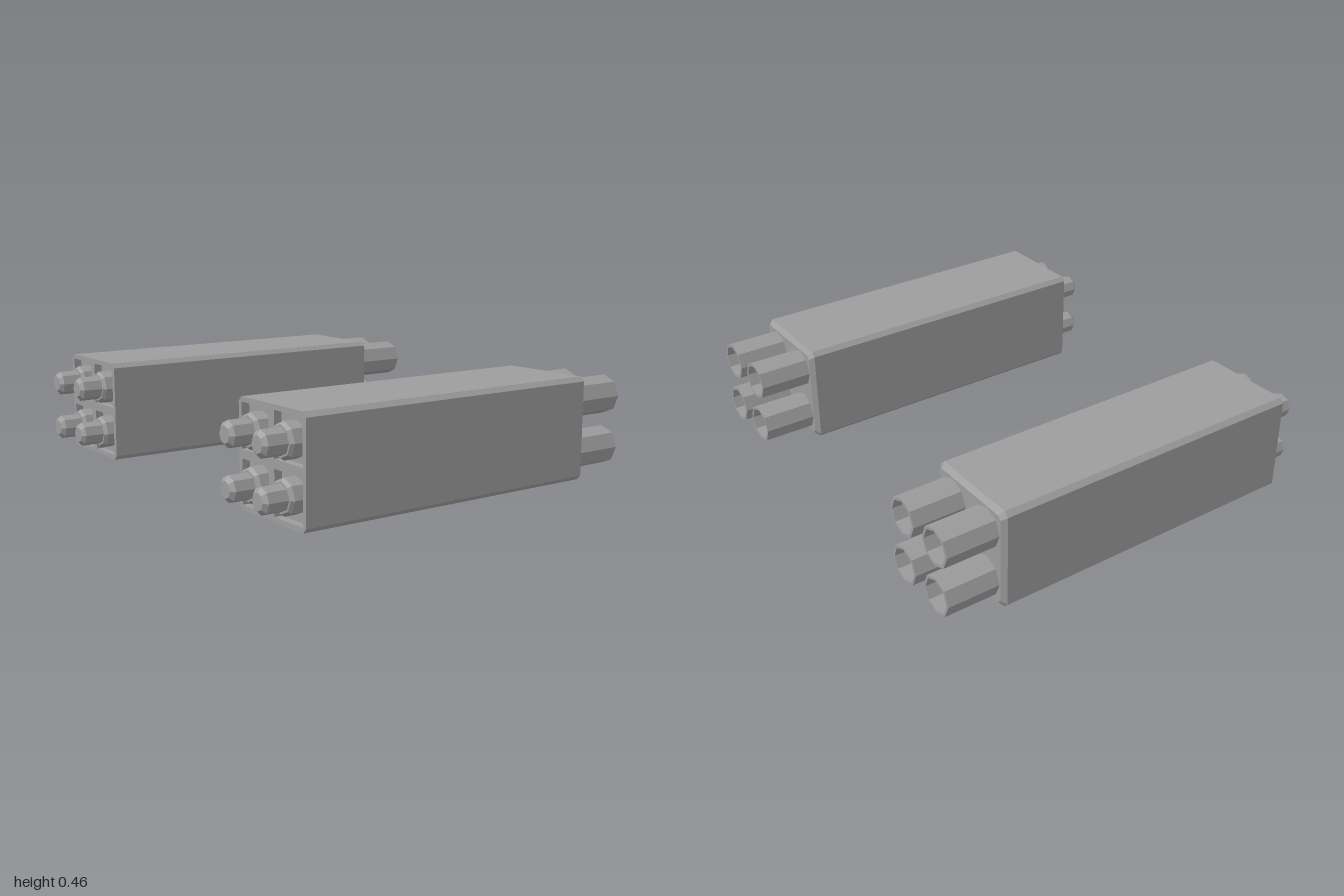
import * as THREE from 'three';

const grey = new THREE.MeshStandardMaterial({ color: 0x9c9c9c, flatShading: true });
grey.name = 'grey metal';

const HALF = 0.228, CHAMFER = 0.02, FRONT = 0.79, BACK = -0.693, DEPTH = 0.035;
const CELL = 0.113, CELL_HALF = 0.094, FLOOR_HALF = 0.08;

// Square outline with cut corners
function outline(h, c) {
  return [[h, -h + c], [h, h - c], [h - c, h], [-h + c, h], [-h, h - c], [-h, -h + c], [-h + c, -h], [h - c, -h]]
    .map(([x, y]) => new THREE.Vector2(x, y));
}

// Capped solid through a series of outlines running from back to front
function loft(sections) {
  const pos = [], idx = [], n = 8;
  for (const [z, h, c] of sections) for (const p of outline(h, c)) pos.push(p.x, p.y, z);
  for (let s = 0; s < sections.length - 1; s++) {
    for (let i = 0; i < n; i++) {
      const a = s * n + i, b = s * n + (i + 1) % n;
      idx.push(a, b, b + n, a, b + n, a + n);
    }
  }
  const last = (sections.length - 1) * n;
  for (let i = 1; i < n - 1; i++) idx.push(0, i + 1, i, last, last + i, last + i + 1);
  const g = new THREE.BufferGeometry();
  g.setAttribute('position', new THREE.Float32BufferAttribute(pos, 3));
  g.setIndex(idx);
  g.computeVertexNormals();
  return g;
}

// Faceted turned part along z, from [radius, z] pairs
function turned(profile, sides) {
  return new THREE.LatheGeometry(profile.map(([r, z]) => new THREE.Vector2(r, -z)), sides).rotateX(-Math.PI / 2);
}

function add(parent, name, geometry, x = 0, y = 0, z = 0) {
  const m = new THREE.Mesh(geometry, grey);
  m.name = name;
  m.position.set(x, y, z);
  parent.add(m);
}

const corners = [[-1, -1], [1, -1], [-1, 1], [1, 1]];

// Front grille with four square openings
function frameGeometry() {
  const shape = new THREE.Shape(outline(HALF, CHAMFER));
  for (const [sx, sy] of corners) {
    const x = sx * CELL, y = sy * CELL, h = CELL_HALF;
    shape.holes.push(new THREE.Path([[x - h, y - h], [x - h, y + h], [x + h, y + h], [x + h, y - h]]
      .map(([a, b]) => new THREE.Vector2(a, b))));
  }
  return new THREE.ExtrudeGeometry(shape, { depth: DEPTH, bevelEnabled: false });
}

function createPod() {
  const pod = new THREE.Group();
  pod.name = 'launcherPod';

  // Long casing with a bevelled back end
  add(pod, 'casing', loft([
    [BACK, HALF - 0.02, CHAMFER * 0.8], [BACK + 0.02, HALF, CHAMFER], [FRONT - DEPTH, HALF, CHAMFER],
  ]));
  add(pod, 'frontFrame', frameGeometry(), 0, 0, FRONT - DEPTH);

  // Sloping cell walls, facing inward
  const q = Math.SQRT2;
  const walls = turned([[FLOOR_HALF * q, FRONT - DEPTH], [CELL_HALF * q, FRONT]], 4).rotateZ(Math.PI / 4);

  // Stepped round nose
  const nose = turned([
    [0, 0.928], [0.036, 0.928], [0.055, 0.912], [0.055, 0.824], [0.064, 0.824],
    [0.075, 0.81], [0.075, FRONT - DEPTH - 0.005],
  ], 8);

  // Hollow exhaust tube
  const tube = turned([
    [0, BACK - 0.01], [0.062, BACK - 0.01], [0.074, -0.93], [0.087, -0.93], [0.087, BACK + 0.01],
  ].reverse(), 8);

  for (const [sx, sy] of corners) {
    add(pod, 'cellWalls', walls, sx * CELL, sy * CELL);
    add(pod, 'nose', nose, sx * CELL, sy * 0.107);
    add(pod, 'exhaustTube', tube, sx * 0.116, sy * 0.116);
  }
  return pod;
}

// Make sure turned surfaces face the intended way
function orient(geometry, test) {
  const p = geometry.attributes.position, i = geometry.index.array;
  const v = [0, 1, 2].map(() => new THREE.Vector3());
  let sum = 0;
  for (let t = 0; t < i.length; t += 3) {
    v.forEach((w, k) => w.fromBufferAttribute(p, i[t + k]));
    sum += v[0].dot(v[1].clone().cross(v[2]));
  }
  if ((sum > 0) !== test) {
    for (let t = 0; t < i.length; t += 3) [i[t], i[t + 1]] = [i[t + 1], i[t]];
    geometry.computeVertexNormals();
  }
}

export function createModel() {
  const model = new THREE.Group();
  model.name = 'launcherPods';
  for (const side of [-1, 1]) {
    const pod = createPod();
    pod.traverse((o) => {
      if (o.name === 'nose' || o.name === 'exhaustTube') orient(o.geometry, true);
      if (o.name === 'cellWalls') orient(o.geometry, false);
    });
    pod.position.set(side * 0.772, HALF, 0);
    model.add(pod);
  }
  return model;
}
